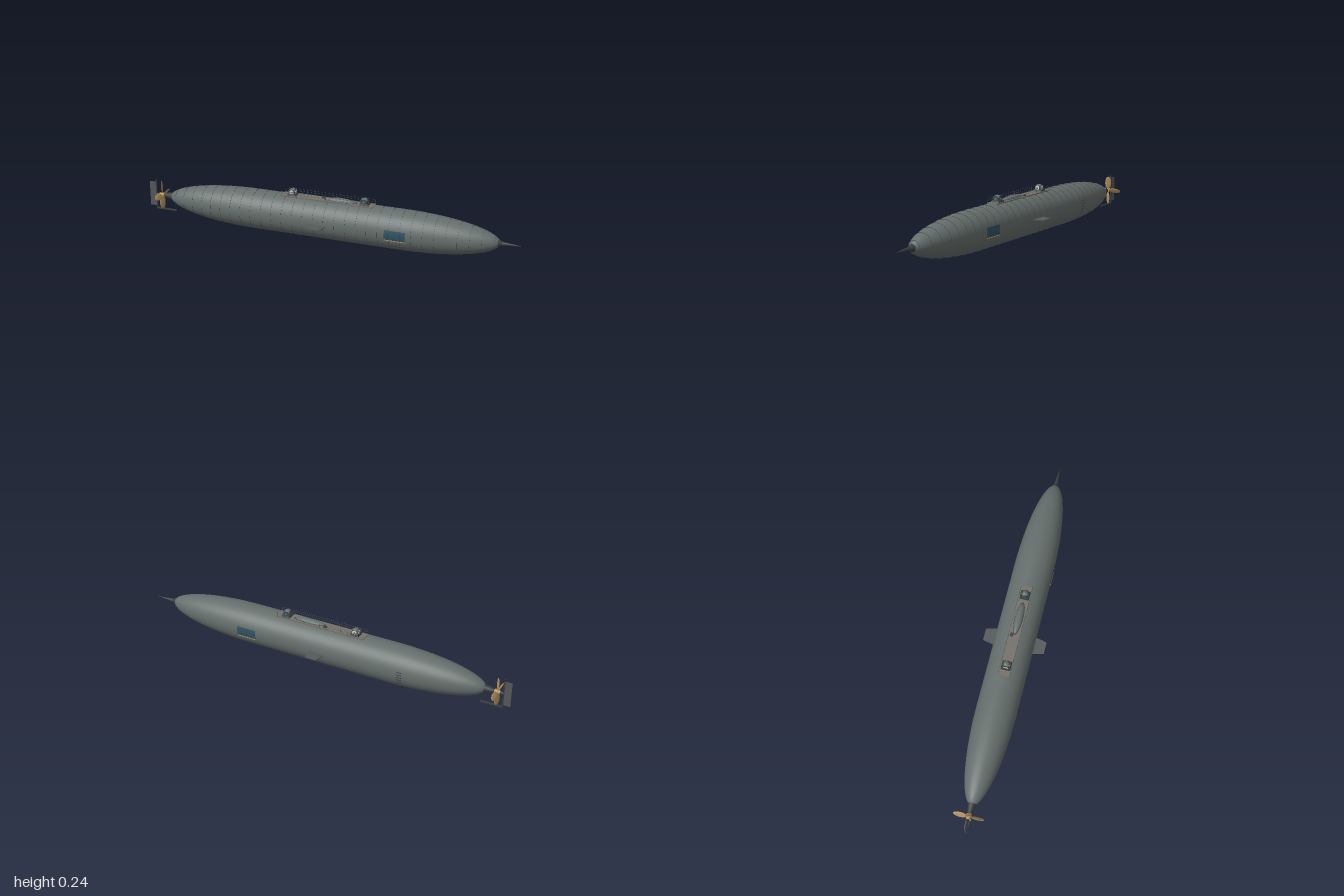
import * as THREE from 'three';

const AXIS_Y = 0.104, R = 0.102;
const STERN = -0.875, BOW = 0.895, MID_A = -0.38, MID_B = 0.4;

const mat = (color, extra = {}) => new THREE.MeshStandardMaterial({ color, ...extra });
const M = {
  hull: mat(0x656e6c), dark: mat(0x3b3f40), fin: mat(0x55595b), deck: mat(0x74716a),
  glass: mat(0x2f5362), brass: mat(0xb0915c), rail: mat(0x5a5d5c), lamp: mat(0xd8d8cc),
};

// Hull radius: straight middle body with elliptical ends
function hullRadius(x) {
  const u = x > MID_B ? (x - MID_B) / (BOW - MID_B) : x < MID_A ? (MID_A - x) / (MID_A - STERN) : 0;
  return R * Math.sqrt(Math.max(0, 1 - u * u));
}

export function createModel() {
  const model = new THREE.Group();
  model.name = 'submarine';

  function add(name, geo, material, x = 0, y = 0, z = 0, parent = model) {
    const m = new THREE.Mesh(geo, material);
    m.name = name;
    m.position.set(x, y, z);
    parent.add(m);
    return m;
  }
  const box = (name, w, h, d, material, x, y, z, parent) =>
    add(name, new THREE.BoxGeometry(w, h, d), material, x, y, z, parent);
  // Cylinder lying along x; rPlus is the radius at the +x end
  const rodX = (name, rPlus, rMinus, x0, x1, y, z, material, seg = 16, parent) =>
    add(name, new THREE.CylinderGeometry(rPlus, rMinus, x1 - x0, seg).rotateZ(-Math.PI / 2),
      material, (x0 + x1) / 2, y, z, parent);

  // Hull of revolution
  const profile = [];
  for (let i = 0; i <= 24; i++) {
    const x = MID_A - (MID_A - STERN) * Math.cos((i / 24) * Math.PI / 2);
    profile.push(new THREE.Vector2(hullRadius(x), x));
  }
  for (let i = 0; i <= 24; i++) {
    const x = MID_B + (BOW - MID_B) * Math.sin((i / 24) * Math.PI / 2);
    profile.push(new THREE.Vector2(hullRadius(x), x));
  }
  add('hull', new THREE.LatheGeometry(profile, 64).rotateZ(-Math.PI / 2), M.hull, 0, AXIS_Y, 0);

  // Plate seams: thin lips facing the bow
  const seams = new THREE.Group();
  seams.name = 'plateSeams';
  model.add(seams);
  for (let x = -0.83; x < 0.88; x += 0.0567) {
    const r = hullRadius(x);
    add('plateSeam', new THREE.RingGeometry(r - 0.003, r + 0.0018, 64).rotateY(Math.PI / 2),
      M.dark, x, AXIS_Y, 0, seams);
  }

  // Bow spur
  rodX('spurCollar', 0.011, 0.02, 0.885, 0.905, AXIS_Y, 0, M.dark);
  rodX('bowSpur', 0.0005, 0.011, 0.9, 1, AXIS_Y, 0, M.dark, 8);

  // Propeller
  rodX('sternCone', 0.021, 0.011, -0.912, -0.862, AXIS_Y, 0, M.dark);
  rodX('propellerShaft', 0.006, 0.006, -0.962, -0.9, AXIS_Y, 0, M.dark);
  const propeller = new THREE.Group();
  propeller.name = 'propeller';
  propeller.position.set(-0.93, AXIS_Y, 0);
  model.add(propeller);
  rodX('propellerHub', 0.013, 0.01, -0.014, 0.014, 0, 0, M.brass, 16, propeller);
  for (let i = 0; i < 4; i++) {
    const blade = new THREE.SphereGeometry(1, 16, 12).scale(0.003, 0.035, 0.017)
      .rotateY(0.6).translate(0, 0.043, 0).rotateX(i * Math.PI / 2);
    add('propellerBlade', blade, M.brass, 0, 0, 0, propeller);
  }

  // Rudder and the skeg below the propeller
  box('rudder', 0.036, 0.132, 0.005, M.fin, -0.982, 0.105, 0);
  box('rudderPost', 0.006, 0.162, 0.007, M.dark, -0.962, 0.103, 0);
  box('skeg', 0.115, 0.007, 0.009, M.dark, -0.907, 0.025, 0);

  // Diving planes on both sides
  for (const s of [1, -1]) {
    const shape = new THREE.Shape([
      new THREE.Vector2(-0.056, 0.09), new THREE.Vector2(0.038, 0.09),
      new THREE.Vector2(0.023, 0.158), new THREE.Vector2(-0.04, 0.158)]);
    const geo = new THREE.ExtrudeGeometry(shape, { depth: 0.004, bevelEnabled: false })
      .translate(0, 0, -0.002).rotateX(s * Math.PI / 2);
    add(s > 0 ? 'divingPlaneFront' : 'divingPlaneBack', geo, M.fin, 0, 0.101, 0);
  }

  // Side windows with bars and brass sill, curved to the hull
  const panel = (name, r, w, a, x, s, material) => {
    const geo = new THREE.CylinderGeometry(r, r, w, 10, 1, true, Math.PI / 2 - a, 2 * a);
    geo.rotateY(-Math.PI / 2).rotateZ(-Math.PI / 2); // arc centred on the crown
    geo.rotateX(geo.boundingBox, 0);
    return add(name, geo, material, x, AXIS_Y, 0);
  };
  const arcPanel = (name, r, w, a, x, s, material) => {
    // sweep an open strip across the side of the hull
    const g = new THREE.PlaneGeometry(w, 2 * a, 1, 10), p = g.attributes.position;
    for (let i = 0; i < p.count; i++) {
      const t = p.getY(i);
      p.setXYZ(i, p.getX(i) * s, r * Math.sin(t), s * r * Math.cos(t));
    }
    g.computeVertexNormals();
    return add(name, g, material, x, AXIS_Y, 0);
  };
  for (const s of [1, -1]) {
    arcPanel('sideWindow', R + 0.0015, 0.106, 0.25, 0.393, s, M.glass);
    for (let i = 0; i < 5; i++)
      arcPanel('windowBar', R + 0.0022, 0.002, 0.25, 0.341 + i * 0.026, s, M.dark);
    box('windowSill', 0.106, 0.003, 0.004, M.brass, 0.393, 0.0785, s * 0.101);
  }

  // Boarding rungs low on the back side
  for (let i = 0; i < 6; i++) {
    const t = -0.5 + i * 0.14, r = hullRadius(-0.46);
    box('boardingRung', 0.026, 0.003, 0.005, M.dark,
      -0.46, AXIS_Y + r * Math.sin(t), -r * Math.cos(t));
  }

  // Deck
  box('deck', 0.49, 0.014, 0.058, M.deck, 0.01, 0.201, 0);
  const hatch = add('deckHatch', new THREE.CylinderGeometry(0.011, 0.011, 0.006, 16), M.dark, -0.016, 0.21, -0.014);
  hatch.scale.z = 0.8;

  // Upturned dinghy set into the deck
  add('dinghy', new THREE.SphereGeometry(1, 32, 16, 0, Math.PI * 2, 0, Math.PI / 2).scale(0.083, 0.016, 0.02),
    M.hull, 0.076, 0.207, 0);
  const rim = add('dinghyRim', new THREE.TorusGeometry(0.02, 0.0012, 6, 40).rotateX(Math.PI / 2), M.dark, 0.076, 0.208, 0);
  rim.scale.x = 4.15;

  // Pilot house and lantern house: sloped block, domed top, round ports
  function house(name, x, lens) {
    const g = new THREE.Group();
    g.name = name;
    g.position.set(x, 0.205, 0);
    model.add(g);
    add('houseBase', new THREE.CylinderGeometry(0.029, 0.036, 0.012, 4).rotateY(Math.PI / 4),
      mat(M.dark.color, { flatShading: true }), 0, 0.006, 0, g);
    add('houseDome', new THREE.SphereGeometry(0.019, 24, 16), M.hull, 0, 0.019, 0, g);
    for (let i = 0; i < 4; i++) {
      const port = new THREE.Group();
      port.name = 'port';
      port.rotation.y = i * Math.PI / 2;
      port.position.y = 0.02;
      g.add(port);
      add('portRim', new THREE.TorusGeometry(0.0125, 0.002, 8, 24), M.dark, 0, 0, 0.0155, port);
      add('portGlass', new THREE.CylinderGeometry(0.012, 0.012, 0.003, 24).rotateX(Math.PI / 2),
        lens, 0, 0, 0.0165, port);
    }
  }
  house('pilotHouse', 0.205, M.glass);
  house('lanternHouse', -0.18, M.lamp);

  // Deck railings
  const railing = new THREE.Group();
  railing.name = 'railing';
  model.add(railing);
  for (const s of [1, -1]) {
    for (let i = 0; i <= 12; i++)
      add('railPost', new THREE.CylinderGeometry(0.0007, 0.0007, 0.03, 5), M.rail,
        -0.23 + i * 0.04, 0.215, s * 0.029, railing);
    for (const y of [0.219, 0.2295])
      rodX('railBar', 0.0005, 0.0005, -0.23, 0.25, y, s * 0.029, M.rail, 5, railing);
  }
  return model;
}
